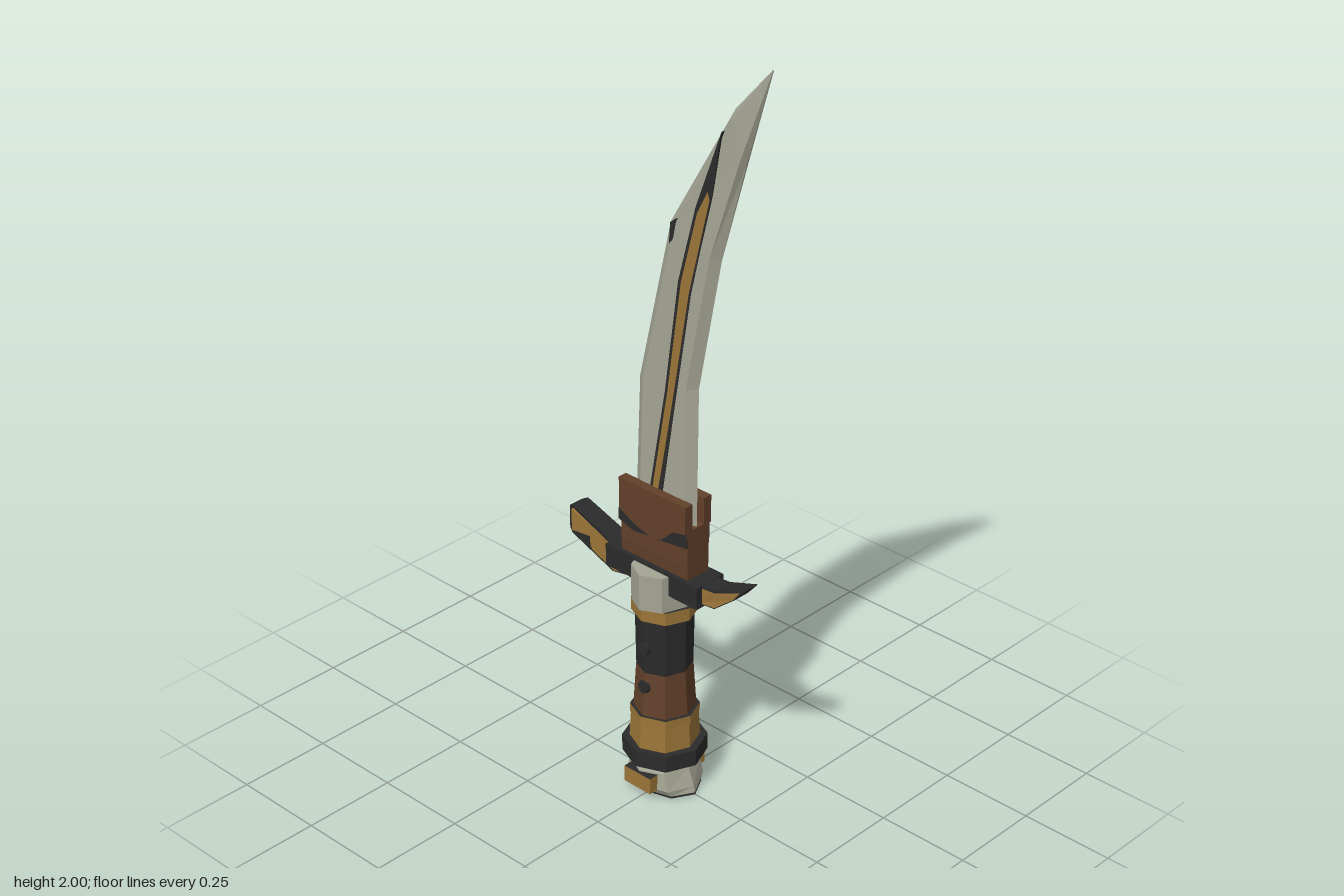
import * as THREE from 'three';

const mat = (name, color) => {
  const m = new THREE.MeshStandardMaterial({ color, flatShading: true });
  m.name = name;
  return m;
};

export function createModel() {
  const steel = mat('steel', 0xa5a595);
  const leather = mat('brown leather', 0x62402a);
  const gold = mat('old gold', 0x9b7538);
  const black = mat('blackened iron', 0x2b2b2b);
  const model = new THREE.Group();
  const AXIS = -0.01; // x of the grip's centre line

  const add = (name, geometry, material) => {
    const mesh = new THREE.Mesh(geometry, material);
    mesh.name = name;
    model.add(mesh);
    return mesh;
  };

  // Flat outline in x/y, extruded to a full thickness about z
  const slab = (name, points, thickness, material, z = 0) => {
    const shape = new THREE.Shape(points.map(p => new THREE.Vector2(...p)));
    const g = new THREE.ExtrudeGeometry(shape, { depth: thickness, bevelEnabled: false });
    g.translate(0, 0, z - thickness / 2);
    return add(name, g, material);
  };

  // Eight-sided ring or drum around the grip axis
  const drum = (name, y0, y1, r0, r1, material, sx = 1) => {
    const g = new THREE.CylinderGeometry(r1, r0, y1 - y0, 8);
    g.scale(sx, 1, 1);
    g.translate(AXIS, (y0 + y1) / 2, 0);
    return add(name, g, material);
  };

  // Blade: six-cornered sections from spine to cutting edge
  const rows = [ // left x, y, right x, y, half thickness
    [-0.106, 0.72, 0.095, 0.72, 0.021],
    [-0.09, 1.12, 0.1, 1.15, 0.021],
    [0.01, 1.55, 0.168, 1.5, 0.021],
    [0.205, 1.88, 0.24, 1.76, 0.016],
    [0.312, 2.0, 0.313, 1.998, 0.001],
  ];
  const rings = rows.map(([lx, ly, rx, ry, h]) =>
    [[0, 0], [0.15, h], [0.88, h], [1, 0], [0.88, -h], [0.15, -h]].map(([t, z]) =>
      [lx + (rx - lx) * t, ly + (ry - ly) * t, z]));
  const pos = [];
  for (let r = 0; r < rings.length - 1; r++) {
    for (let i = 0; i < 6; i++) {
      const j = (i + 1) % 6;
      const a = rings[r][i], b = rings[r][j], c = rings[r + 1][i], d = rings[r + 1][j];
      pos.push(...a, ...b, ...d, ...a, ...d, ...c);
    }
  }
  const bladeGeo = new THREE.BufferGeometry();
  bladeGeo.setAttribute('position', new THREE.Float32BufferAttribute(pos, 3));
  bladeGeo.computeVertexNormals();
  add('blade', bladeGeo, steel);

  // Dark groove with a gold inlay, showing on both faces
  slab('bladeGroove', [[-0.046, 0.8], [0.011, 1.12], [0.053, 1.42], [0.106, 1.62], [0.183, 1.825],
    [0.155, 1.66], [0.093, 1.4], [0.047, 1.12], [-0.004, 0.8]], 0.0436, black);
  slab('bladeInlay', [[-0.038, 0.8], [0.019, 1.12], [0.062, 1.42], [0.112, 1.61], [0.143, 1.67],
    [0.149, 1.65], [0.087, 1.4], [0.039, 1.12], [0.012, 0.97], [-0.02, 0.8]], 0.0446, gold);
  slab('bladeNick', [[0.024, 1.505], [0.036, 1.52], [0.047, 1.575], [0.028, 1.56]], 0.0434, black);

  // Leather throat: a tapered core in z/y run along x, with a cheek on each side
  const side = [[0.035, 0.64], [0.037, 0.68], [0.038, 0.78]];
  const core = slab('throatCore', [...side, ...side.map(([z, y]) => [-z, y]).reverse()], 0.22, leather);
  core.geometry.rotateY(Math.PI / 2).translate(AXIS, 0, 0);
  for (const s of [1, -1]) {
    slab('throatCheek', [[-0.12, 0.735], [-0.07, 0.72], [0.02, 0.73], [0.06, 0.768], [0.1, 0.776],
      [0.1, 0.85], [-0.12, 0.85]], 0.025, leather, s * 0.0325);
    slab('cheekPatch', [[-0.12, 0.765], [-0.12, 0.735], [-0.07, 0.72], [-0.02, 0.726], [-0.07, 0.74]],
      0.003, black, s * 0.045);
    slab('corePatch', [[0, 0.722], [0.06, 0.73], [0.1, 0.735], [0.1, 0.776], [0.06, 0.768], [0.02, 0.732]],
      0.003, black, s * 0.038);
  }

  // Guard block and its two uneven arms
  const block = new THREE.BoxGeometry(0.305, 0.06, 0.094);
  block.translate(-0.0125, 0.615, 0);
  add('guardBlock', block, black);
  const arms = [
    slab('longArm', [[-0.09, 0.64], [-0.165, 0.645], [-0.3, 0.69], [-0.315, 0.683], [-0.315, 0.62],
      [-0.3, 0.613], [-0.16, 0.56], [-0.08, 0.575]], 0.056, black),
    slab('longArmInlay', [[-0.303, 0.68], [-0.17, 0.636], [-0.165, 0.585], [-0.09, 0.582],
      [-0.155, 0.563], [-0.303, 0.619]], 0.0575, gold),
    slab('shortArm', [[0.12, 0.642], [0.18, 0.648], [0.275, 0.685], [0.24, 0.645],
      [0.18, 0.597], [0.12, 0.59]], 0.056, black),
    slab('shortArmInlay', [[0.13, 0.636], [0.18, 0.641], [0.255, 0.67], [0.238, 0.646],
      [0.18, 0.6], [0.13, 0.593]], 0.0575, gold),
  ];
  // Narrow both arms towards their ends
  for (const { geometry } of arms) {
    const p = geometry.attributes.position;
    for (let i = 0; i < p.count; i++) {
      const x = p.getX(i);
      const t = x > 0 ? (x - 0.18) / 0.095 : (-0.3 - x) / 0.015;
      p.setZ(i, p.getZ(i) * (1 - 0.25 * THREE.MathUtils.clamp(t, 0, 1)));
    }
    geometry.computeVertexNormals();
  }

  // Hilt, from the collar down; gold rings have dark upper rims
  const rimmed = [gold, black, gold];
  drum('steelCollar', 0.54, 0.638, 0.09, 0.09, steel, 0.82);
  drum('upperRing', 0.505, 0.54, 0.083, 0.083, rimmed);
  drum('upperGrip', 0.35, 0.508, 0.072, 0.075, black, 0.96);
  drum('lowerGrip', 0.22, 0.35, 0.08, 0.072, leather, 0.97);
  drum('lowerRingLip', 0.205, 0.228, 0.087, 0.087, rimmed);
  drum('lowerRing', 0.13, 0.205, 0.09, 0.086, gold, 0.97);
  drum('pommelRing', 0.09, 0.135, 0.107, 0.107, black);

  // Rivets on both faces of the grip
  for (const y of [0.31, 0.42]) {
    const g = new THREE.CylinderGeometry(0.017, 0.017, 0.158, 8);
    g.rotateX(Math.PI / 2).translate(AXIS, y, 0);
    add('rivet', g, black);
  }

  // Pommel: spreads along x, rounded along z, with a dark foot and gold plates
  const levels = [[0.004, 0.104, 0.076], [0.022, 0.1, 0.092], [0.07, 0.083, 0.092], [0.092, 0.075, 0.076]];
  const pommel = new THREE.CylinderGeometry(1, 1, 1, 8, 3);
  const p = pommel.attributes.position;
  for (let i = 0; i < p.count; i++) {
    const [y, rx, rz] = levels[Math.round((p.getY(i) + 0.5) * 3)];
    p.setXYZ(i, AXIS + p.getX(i) * rx, y, p.getZ(i) * rz);
  }
  pommel.computeVertexNormals();
  add('pommel', pommel, steel);
  const foot = new THREE.CylinderGeometry(1, 1, 0.005, 8);
  foot.scale(0.105, 1, 0.077).translate(AXIS, 0.0025, 0);
  add('pommelFoot', foot, black);
  const plate = new THREE.BoxGeometry(0.088, 0.045, 0.2);
  plate.translate(AXIS, 0.044, 0);
  add('pommelPlate', plate, [gold, gold, black, gold, gold, gold]);

  return model;
}
